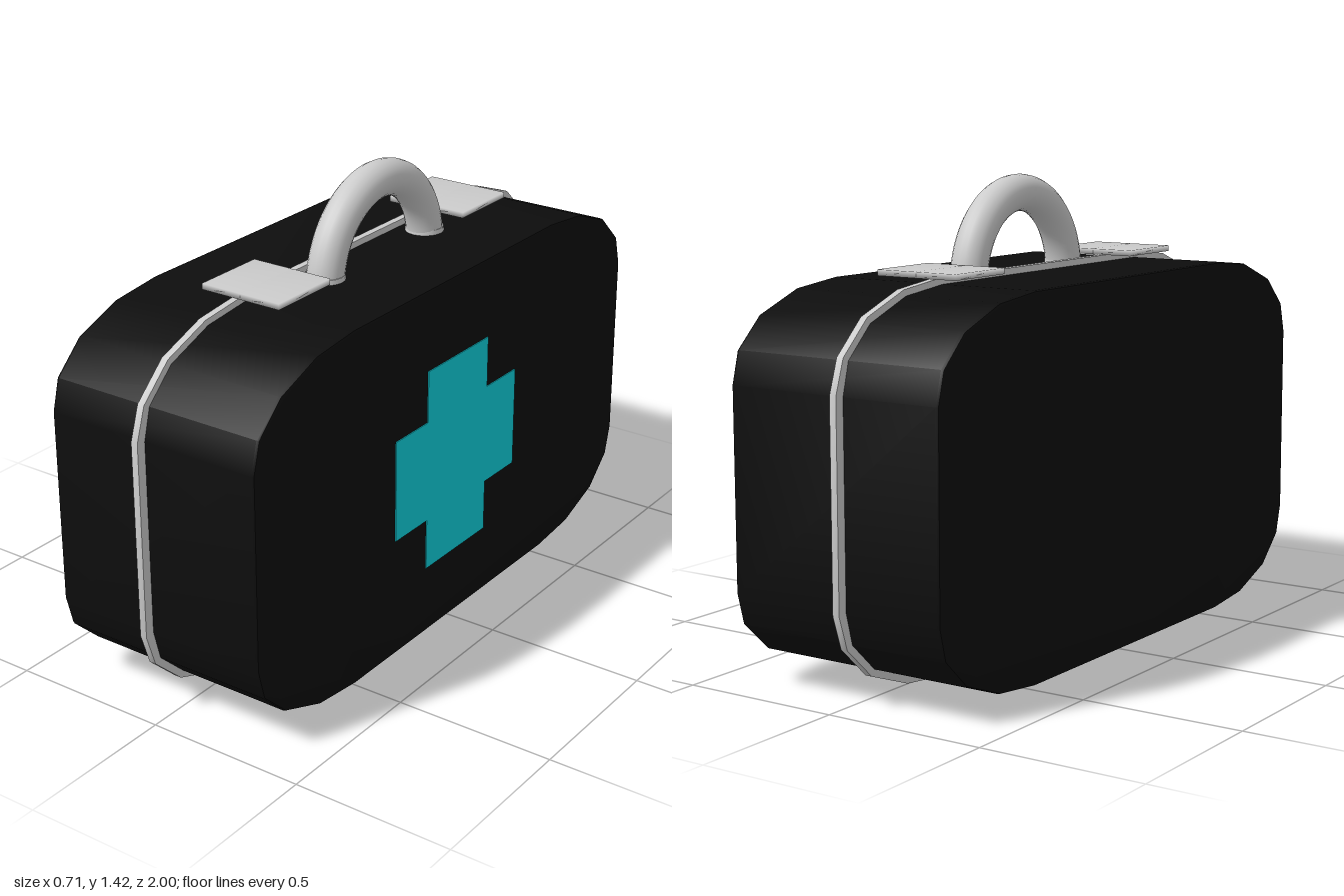
import * as THREE from 'three';
import { mergeVertices, toCreasedNormals } from 'three/addons/utils/BufferGeometryUtils.js';

const grey = new THREE.MeshStandardMaterial({ color: 0xcccccc });
const black = new THREE.MeshStandardMaterial({ color: 0x0d0d0d });
const cyan = new THREE.MeshStandardMaterial({ color: 0x0fd3df });

const MID_Y = 0.578;

// Symmetric case outline from one quarter of it, as [z, height above the middle]
function outline(quarter) {
  const flip = (sx, sy) => quarter.map(([x, y]) => new THREE.Vector2(x * sx, MID_Y + y * sy));
  return new THREE.Shape([
    ...flip(1, 1), ...flip(-1, 1).reverse(), ...flip(-1, -1), ...flip(1, -1).reverse(),
  ]);
}

// Slab extruded along x between two positions
function slab(name, shape, x0, x1, material, bevel = 0) {
  let geo = new THREE.ExtrudeGeometry(shape, {
    depth: x1 - x0 - 2 * bevel, bevelEnabled: bevel > 0, bevelSize: bevel,
    bevelThickness: bevel, bevelOffset: -bevel, bevelSegments: 2,
  });
  geo.translate(0, 0, x0 + bevel);
  geo.rotateY(Math.PI / 2);
  geo = toCreasedNormals(geo, 0.6);
  const mesh = new THREE.Mesh(geo, material);
  mesh.name = name;
  return mesh;
}

// Thin plate with normals blended over its edges, giving a pillowed look
function plate(w, h, d) {
  const geo = new THREE.BoxGeometry(w, h, d);
  geo.deleteAttribute('normal');
  geo.deleteAttribute('uv');
  const merged = mergeVertices(geo);
  merged.computeVertexNormals();
  return merged;
}

export function createModel() {
  const model = new THREE.Group();
  model.name = 'firstAidCase';

  // Case body and the seam band standing slightly proud of it
  const body = outline([[0.97, 0.295], [0.945, 0.39], [0.85, 0.48], [0.69, 0.54], [0.52, 0.558]]);
  const band = outline([[1, 0.3], [0.967, 0.4], [0.862, 0.498], [0.7, 0.558], [0.52, 0.578]]);
  model.add(slab('caseBody', body, -0.355, 0.355, black, 0.01));
  model.add(slab('seamBand', band, -0.04, -0.018, grey));

  // Cross on the right-hand face
  const a = 0.16, b = 0.322;
  const cross = new THREE.Shape([
    [a, b], [-a, b], [-a, a], [-b, a], [-b, -a], [-a, -a],
    [-a, -b], [a, -b], [a, -a], [b, -a], [b, a], [a, a],
  ].map(([x, y]) => new THREE.Vector2(x, y + 0.563)));
  model.add(slab('cross', cross, 0.35, 0.358, cyan));

  // Two latches, each made of a pair of plates
  for (const z of [0.449, -0.477]) {
    const latch = new THREE.Group();
    latch.name = 'latch';
    for (const x of [-0.071, 0.065]) {
      const half = new THREE.Mesh(plate(0.135, 0.018, 0.238), grey);
      half.name = 'latchPlate';
      half.position.set(x, 1.166, z);
      latch.add(half);
    }
    model.add(latch);
  }

  // Arched handle with a collar at each foot
  const handle = new THREE.Group();
  handle.name = 'handle';
  const grip = new THREE.Mesh(new THREE.TorusGeometry(0.255, 0.056, 20, 40, Math.PI), grey);
  grip.name = 'grip';
  grip.rotation.y = Math.PI / 2;
  grip.position.y = 1.11;
  handle.add(grip);
  for (const s of [-1, 1]) {
    const collar = new THREE.Mesh(new THREE.CylinderGeometry(0.058, 0.061, 0.025, 20), grey);
    collar.name = 'handleCollar';
    collar.position.set(0, 1.138, s * 0.255);
    handle.add(collar);
  }
  handle.position.x = 0.06;
  model.add(handle);

  return model;
}
